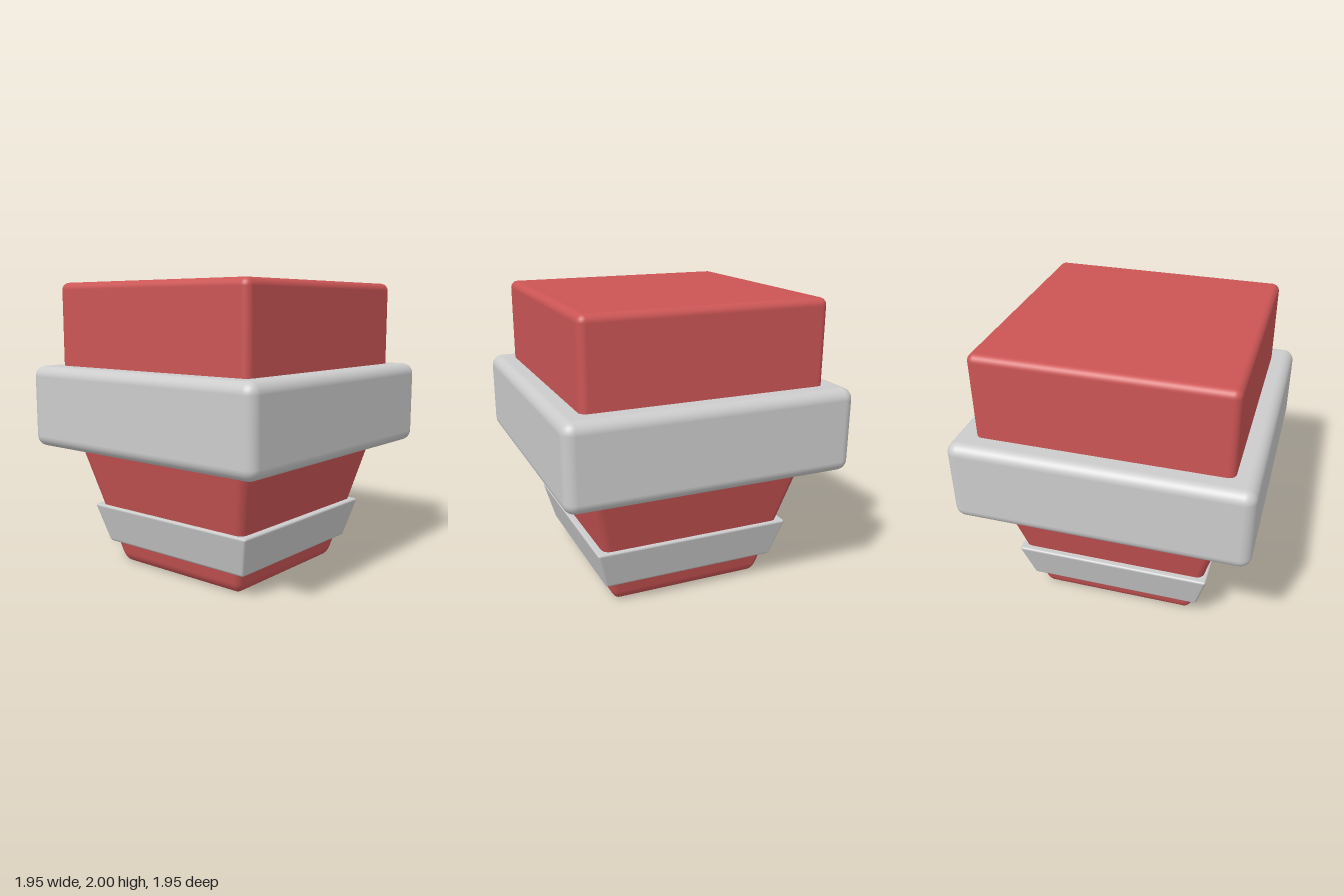
import * as THREE from 'three';
import { RoundedBoxGeometry } from 'three/addons/geometries/RoundedBoxGeometry.js';

const red = new THREE.MeshStandardMaterial({ color: 0xcc5555 });
const grey = new THREE.MeshStandardMaterial({ color: 0xcccccc });

// Rounded block from y0 to y1; hx, hz are half sizes at the top, shrunk by `taper` at the bottom.
function block(name, material, y0, y1, hx, hz, radius, taper = 1) {
  const h = y1 - y0;
  const geo = new RoundedBoxGeometry(hx * 2, h, hz * 2, 4, radius);
  geo.translate(0, h / 2, 0);
  const pos = geo.attributes.position;
  const nor = geo.attributes.normal;
  const n = new THREE.Vector3();
  const slope = (1 - taper) / h;
  for (let i = 0; i < pos.count; i++) {
    const x = pos.getX(i), y = pos.getY(i), z = pos.getZ(i);
    const s = taper + slope * y;
    n.fromBufferAttribute(nor, i);
    // normals follow the sloped sides
    n.set(n.x / s, n.y - (slope / s) * (x * n.x + z * n.z), n.z / s).normalize();
    pos.setXYZ(i, x * s, y, z * s);
    nor.setXYZ(i, n.x, n.y, n.z);
  }
  geo.translate(0, y0, 0);
  const mesh = new THREE.Mesh(geo, material);
  mesh.name = name;
  return mesh;
}

export function createModel() {
  const model = new THREE.Group();
  model.name = 'bandedBlock';
  model.add(
    // straight upper body and tapered lower body, meeting inside the wide collar
    block('upperBody', red, 1.0, 2.0, 0.827, 0.827, 0.05),
    block('lowerBody', red, 0, 1.16, 0.832, 0.832, 0.07, 0.645),
    // wide collar around the middle
    block('wideCollar', grey, 0.865, 1.43, 0.977, 0.977, 0.075),
    // thin sloped band near the foot
    block('lowerBand', grey, 0.15, 0.43, 0.675, 0.693, 0.018, 0.89),
  );
  return model;
}
